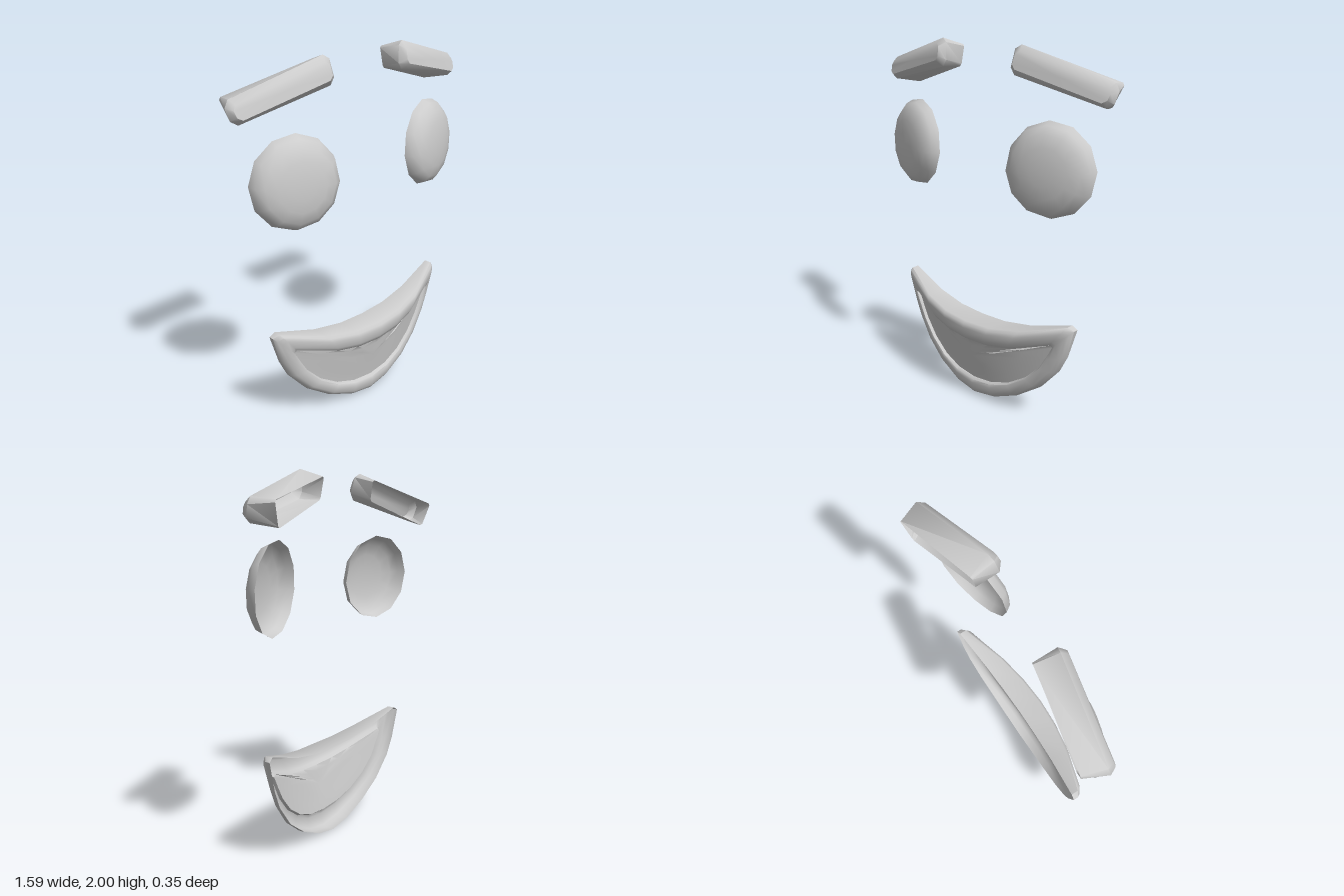
import * as THREE from 'three';
import { toCreasedNormals } from 'three/addons/utils/BufferGeometryUtils.js';

const material = new THREE.MeshStandardMaterial({ color: 0xcccccc, side: THREE.DoubleSide });

// Skin a shell from the open back loop to the front; loops run clockwise seen from the front.
function shell(name, loops, centre) {
  const n = loops[0].length;
  const positions = [...loops.flat(), centre].flat();
  const index = [];
  loops.forEach((loop, k) => {
    for (let i = 0; i < n; i++) {
      const a0 = k * n + i, a1 = k * n + (i + 1) % n;
      if (k === loops.length - 1) index.push(a0, loops.length * n, a1);
      else index.push(a0, a0 + n, a1, a0 + n, a1 + n, a1);
    }
  });
  const geometry = new THREE.BufferGeometry();
  geometry.setAttribute('position', new THREE.Float32BufferAttribute(positions, 3));
  geometry.setIndex(index);
  const mesh = new THREE.Mesh(toCreasedNormals(geometry, 0.85), material);
  mesh.name = name;
  return mesh;
}

const flip = ([x, y, z]) => [-x, y, z];
const mix = (a, b, t) => a.map((v, i) => v + (b[i] - v) * t);

// Add a shell and its mirror image
function addPair(group, part, loops, centre) {
  group.add(shell('left' + part, loops, centre));
  group.add(shell('right' + part, loops.map(l => l.map(flip).reverse()), flip(centre)));
}

// Cut each corner of a four-sided loop
function cutCorners(corners, size) {
  return corners.flatMap((c, i) => [corners[(i + 3) % 4], corners[(i + 1) % 4]].map(o => {
    const d = Math.hypot(o[0] - c[0], o[1] - c[1], o[2] - c[2]);
    return mix(c, o, size / d);
  }));
}

function addBrows(group) {
  // inner top, outer top, outer bottom, inner bottom
  const back = [[0.235, 1.965, -0.09], [0.745, 1.84, -0.18], [0.69, 1.713, -0.155], [0.24, 1.85, -0.07]];
  const edge = [[0.25, 2.01, 0.03], [0.802, 1.85, -0.07], [0.775, 1.732, -0.04], [0.225, 1.862, 0.055]];
  const face = [[0.275, 1.98, 0.062], [0.78, 1.83, -0.03], [0.76, 1.762, -0.005], [0.262, 1.892, 0.085]];
  const centre = [0, 1, 2].map(k => face.reduce((s, c) => s + c[k] / 4, 0));
  addPair(group, 'Brow', [cutCorners(back, 0.012), cutCorners(edge, 0.03), cutCorners(face, 0.02)], centre);
}

function addEyes(group) {
  // Dome profile: radius, height above the tilted rim
  const profile = [[0.243, 0], [0.226, 0.042], [0.19, 0.072], [0.13, 0.09], [0.065, 0.098]];
  const place = (dx, dy, h) => [0.482 + dx * 0.97 + h * 0.22, 1.415 + dy, 0.03 - dx * 0.25 - dy * 0.06 + h * 0.97];
  const loops = profile.map(([r, h]) => Array.from({ length: 12 }, (_, i) => {
    const a = 1.66 - i * Math.PI / 6;
    return place(r * Math.cos(a), r * Math.sin(a), h);
  }));
  addPair(group, 'Eye', loops, place(0, 0, 0.1));
}

function addMouth(group) {
  // Half outlines from top middle, round the corner, to bottom middle
  const outerHalf = [[0, 0.49], [0.17, 0.496], [0.355, 0.527], [0.605, 0.602], [0.635, 0.583], [0.587, 0.415],
    [0.54, 0.315], [0.435, 0.19], [0.295, 0.093], [0.14, 0.028], [0, 0.004]];
  const innerHalf = [[0, 0.37], [0.14, 0.377], [0.275, 0.4], [0.515, 0.477], [0.522, 0.462], [0.485, 0.395],
    [0.445, 0.325], [0.36, 0.235], [0.25, 0.165], [0.13, 0.125], [0, 0.112]];
  const whole = half => [...half, ...half.slice(1, -1).reverse().map(([x, y]) => [-x, y])];
  const outer = whole(outerHalf), inner = whole(innerHalf);
  const zBack = x => 0.015 - 0.13 * x * x;
  const zFront = (x, y) => 0.088 + 0.18 * y - 0.44 * x * x;
  // Lip: how far from outer to inner outline, and drop below the lip crest
  const lip = [[0, 0.025], [0.12, 0.008], [0.3, 0], [0.7, 0], [0.9, 0.008], [1, 0.027]];
  const loops = [outer.map(([x, y]) => [x, y, zBack(x)])];
  for (const [t, drop] of lip) loops.push(outer.map((p, i) => {
    const [x, y] = mix(p, inner[i], t);
    return [x, y, zFront(x, y) - drop];
  }));
  // Recessed floor
  const middle = [0, 0.26];
  for (const t of [0.3, 0.65]) loops.push(inner.map(p => {
    const [x, y] = mix(p, middle, t);
    return [x, y, zFront(x, y) - 0.028];
  }));
  group.add(shell('mouth', loops, [...middle, zFront(...middle) - 0.028]));
}

export function createModel() {
  const group = new THREE.Group();
  group.name = 'face';
  addBrows(group);
  addEyes(group);
  addMouth(group);
  return group;
}
